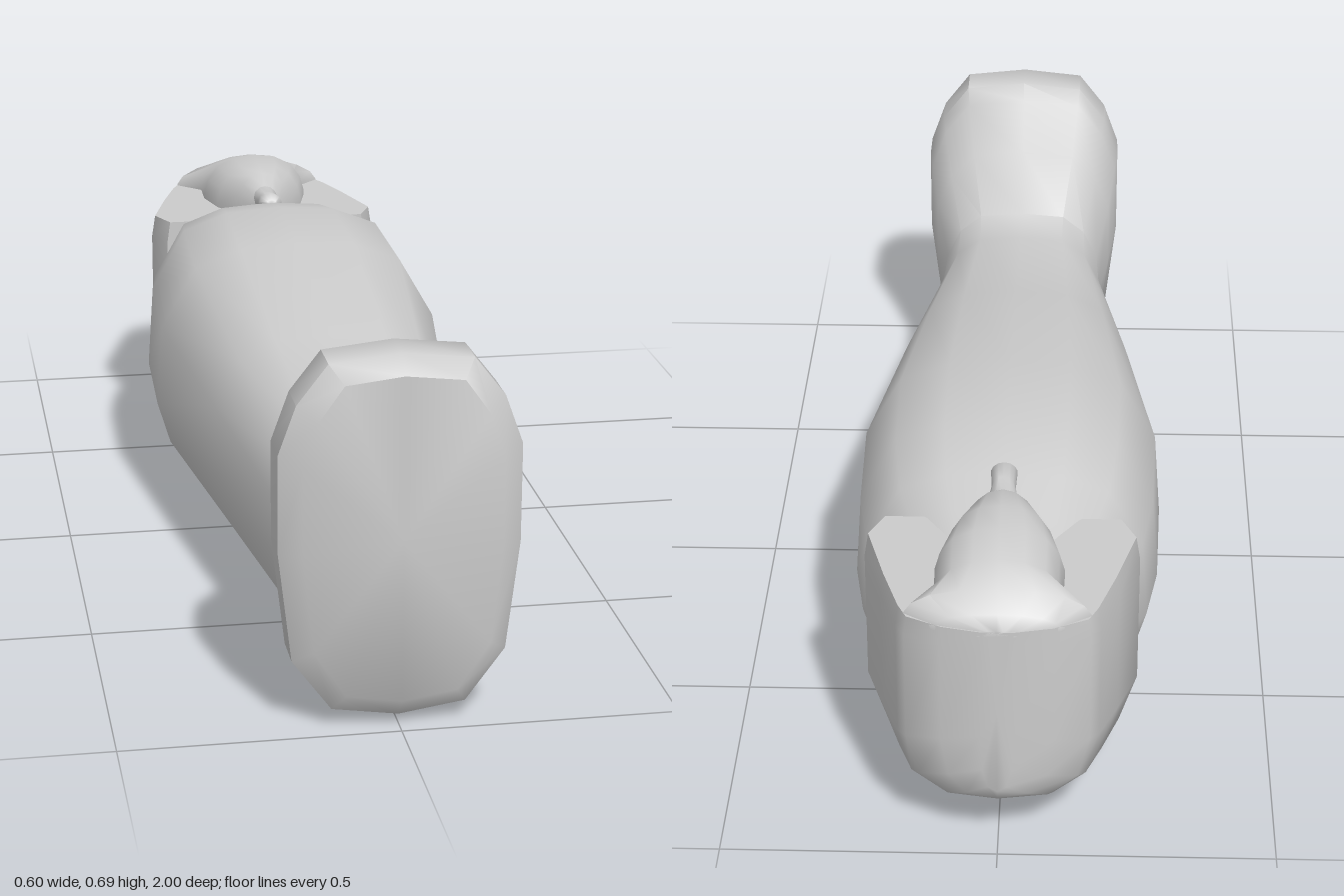
import * as THREE from 'three';
import { toCreasedNormals } from 'three/addons/utils/BufferGeometryUtils.js';

const material = new THREE.MeshStandardMaterial({ color: 0xcccccc });

// Half outlines from top centre to bottom centre: [fraction of half width, fraction of height]
const FOOT = [[0, 1], [0.59, 0.98], [0.85, 0.873], [1, 0.74], [1, 0.47], [0.89, 0.17], [0.56, 0.027], [0, 0]];
const TORSO = [[0, 1], [0.4, 0.985], [0.72, 0.92], [0.96, 0.695], [1, 0.393], [0.913, 0.237], [0.555, 0.057], [0, 0]];
const HOOD = [[0, 1], [0.5, 1], [0.97, 1], [1, 0.9], [1, 0.35], [0.87, 0.14], [0.55, 0.03], [0, 0]];
const DOME = [[0, 1], [0.4, 0.95], [0.72, 0.78], [0.92, 0.5], [1, 0.2], [1, 0], [0.5, 0], [0, 0]];
const ROUND = [...Array(8)].map((_, i) => [Math.sin(i * Math.PI / 7), 0.5 + 0.5 * Math.cos(i * Math.PI / 7)]);

// Lofts mirrored sections along z; station = [z, halfWidth, bottom, top, blend from outline A to B]
function loft(name, stations, A, B = A, crease = 0.8) {
  const pos = [], index = [], n = 14;
  for (const [z, w, y0, y1, t = 0] of stations) {
    for (let j = 0; j < n; j++) {
      const k = j < 8 ? j : n - j;
      const fx = THREE.MathUtils.lerp(A[k][0], B[k][0], t) * (j < 8 ? 1 : -1);
      const fy = THREE.MathUtils.lerp(A[k][1], B[k][1], t);
      pos.push(fx * w, y0 + fy * (y1 - y0), z);
    }
  }
  const rows = stations.length, front = rows * n, back = front + 1, last = (rows - 1) * n;
  for (const s of [stations[0], stations[rows - 1]]) pos.push(0, (s[2] + s[3]) / 2, s[0]);
  for (let j = 0; j < n; j++) {
    const k = (j + 1) % n;
    for (let i = 0; i < rows - 1; i++) {
      const a = i * n + j, b = i * n + k;
      index.push(a, b, a + n, b, b + n, a + n);
    }
    index.push(front, k, j, back, last + j, last + k);
  }
  const geo = new THREE.BufferGeometry();
  geo.setAttribute('position', new THREE.Float32BufferAttribute(pos, 3));
  geo.setIndex(index);
  const mesh = new THREE.Mesh(toCreasedNormals(geo, crease), material);
  mesh.name = name;
  return mesh;
}

export function createModel() {
  const group = new THREE.Group();
  group.name = 'mummyCase';

  // Upright foot end flowing into the tapered body, ending inside the headdress
  group.add(loft('body', [
    [1, 0.175, 0.057, 0.655, 0],
    [0.965, 0.213, 0.017, 0.685, 0],
    [0.885, 0.213, 0.017, 0.685, 0],
    [0.855, 0.207, 0.024, 0.655, 0],
    [0.82, 0.195, 0.03, 0.545, 0.1],
    [0.73, 0.17, 0.045, 0.435, 0.25],
    [0.64, 0.176, 0.044, 0.42, 0.4],
    [0.25, 0.237, 0.028, 0.488, 0.7],
    [-0.17, 0.298, 0, 0.553, 1],
    [-0.42, 0.29, 0.006, 0.563, 1],
    [-0.56, 0.268, 0.03, 0.535, 1],
    [-0.635, 0.232, 0.05, 0.505, 1],
    [-0.78, 0.18, 0.1, 0.475, 1],
  ], FOOT, TORSO));

  // Headdress block with a flat upper face
  group.add(loft('headdress', [
    [-0.63, 0.222, 0.02, 0.48],
    [-0.69, 0.25, 0.012, 0.48],
    [-0.82, 0.213, 0.045, 0.48],
    [-0.92, 0.18, 0.068, 0.48],
    [-0.955, 0.163, 0.09, 0.48],
    [-0.985, 0.1, 0.115, 0.48],
    [-1, 0.03, 0.14, 0.48],
  ], HOOD));

  // Crown widening at the back, narrowing forward to the face and chin
  group.add(loft('face', [
    [-0.61, 0.02, 0.47, 0.54],
    [-0.64, 0.038, 0.47, 0.547],
    [-0.68, 0.062, 0.47, 0.57],
    [-0.74, 0.095, 0.47, 0.575],
    [-0.82, 0.115, 0.47, 0.578],
    [-0.895, 0.113, 0.47, 0.56],
    [-0.945, 0.163, 0.47, 0.532],
    [-0.98, 0.11, 0.47, 0.503],
    [-1, 0.03, 0.47, 0.48],
  ], DOME, DOME, 1));

  // Beard resting on the chest
  group.add(loft('beard', [
    [-0.545, 0.012, 0.525, 0.545],
    [-0.56, 0.025, 0.51, 0.556],
    [-0.6, 0.022, 0.5, 0.55],
    [-0.66, 0.03, 0.49, 0.55],
  ], ROUND, ROUND, 1.2));

  // Gathered hair tail under the neck
  group.add(loft('hairTail', [
    [-0.52, 0.03, 0.025, 0.05],
    [-0.56, 0.055, 0.01, 0.06],
    [-0.62, 0.075, 0.004, 0.08],
    [-0.7, 0.09, 0.015, 0.09],
  ], ROUND, ROUND, 1.2));

  return group;
}
